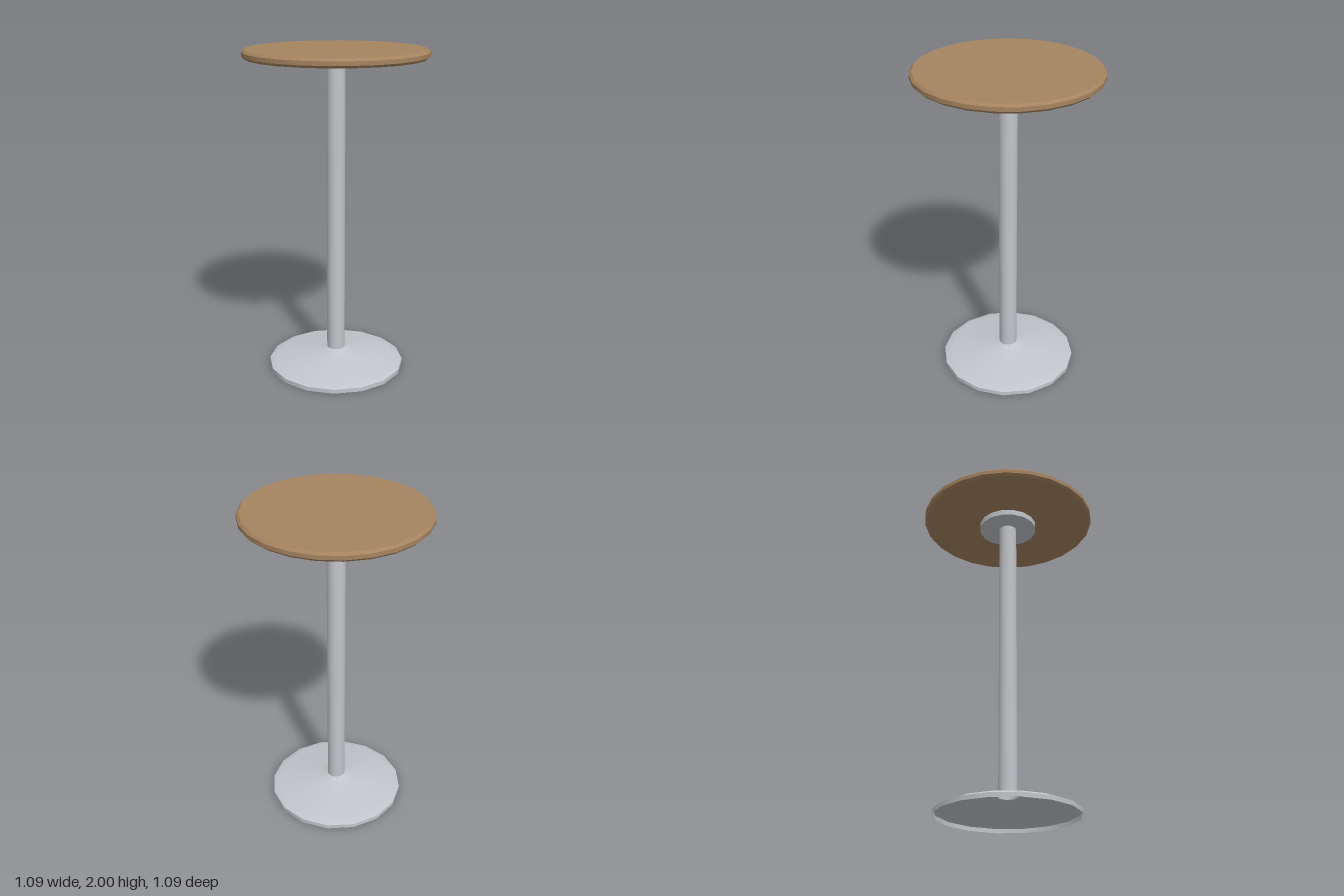
import * as THREE from 'three';
import { mergeGeometries } from 'three/addons/utils/BufferGeometryUtils.js';

// Revolve a profile of [radius, y] points, listed from the bottom up
function revolve(points, sides) {
  const profile = points.map(([r, y]) => new THREE.Vector2(r, y));
  return new THREE.LatheGeometry(profile, sides, Math.PI / sides);
}

// Revolve each profile segment on its own so the edges between them stay sharp
function revolveSharp(points, sides) {
  const bands = points.slice(1).map((p, i) => revolve([points[i], p], sides));
  return mergeGeometries(bands);
}

export function createModel() {
  const wood = new THREE.MeshStandardMaterial({ color: 0xa68460 });
  wood.name = 'wood';
  const metal = new THREE.MeshStandardMaterial({ color: 0xc2c5ca, side: THREE.DoubleSide });
  metal.name = 'brushed metal';

  const table = new THREE.Group();
  table.name = 'barTable';
  const add = (name, geometry, material) => {
    const mesh = new THREE.Mesh(geometry, material);
    mesh.name = name;
    table.add(mesh);
  };

  // Round top with bevelled rims
  add('tableTop', revolveSharp([
    [0, 1.948], [0.535, 1.948], [0.549, 1.962], [0.549, 1.986], [0.535, 2], [0, 2],
  ], 24), wood);

  // Mounting plate under the top
  add('mountingPlate', revolveSharp([[0, 1.912], [0.184, 1.912], [0.184, 1.948]], 16), metal);

  // Hollow pole, open at the foot
  add('pole', revolve([[0.056, 0.11], [0.056, 1.912]], 16), metal);

  // Thin flared foot, open underneath
  add('footRim', revolve([[0.426, 0], [0.426, 0.026]], 16), metal);
  add('footCone', revolve([[0.426, 0.026], [0.375, 0.047], [0.125, 0.083], [0.056, 0.112]], 16), metal);

  return table;
}
